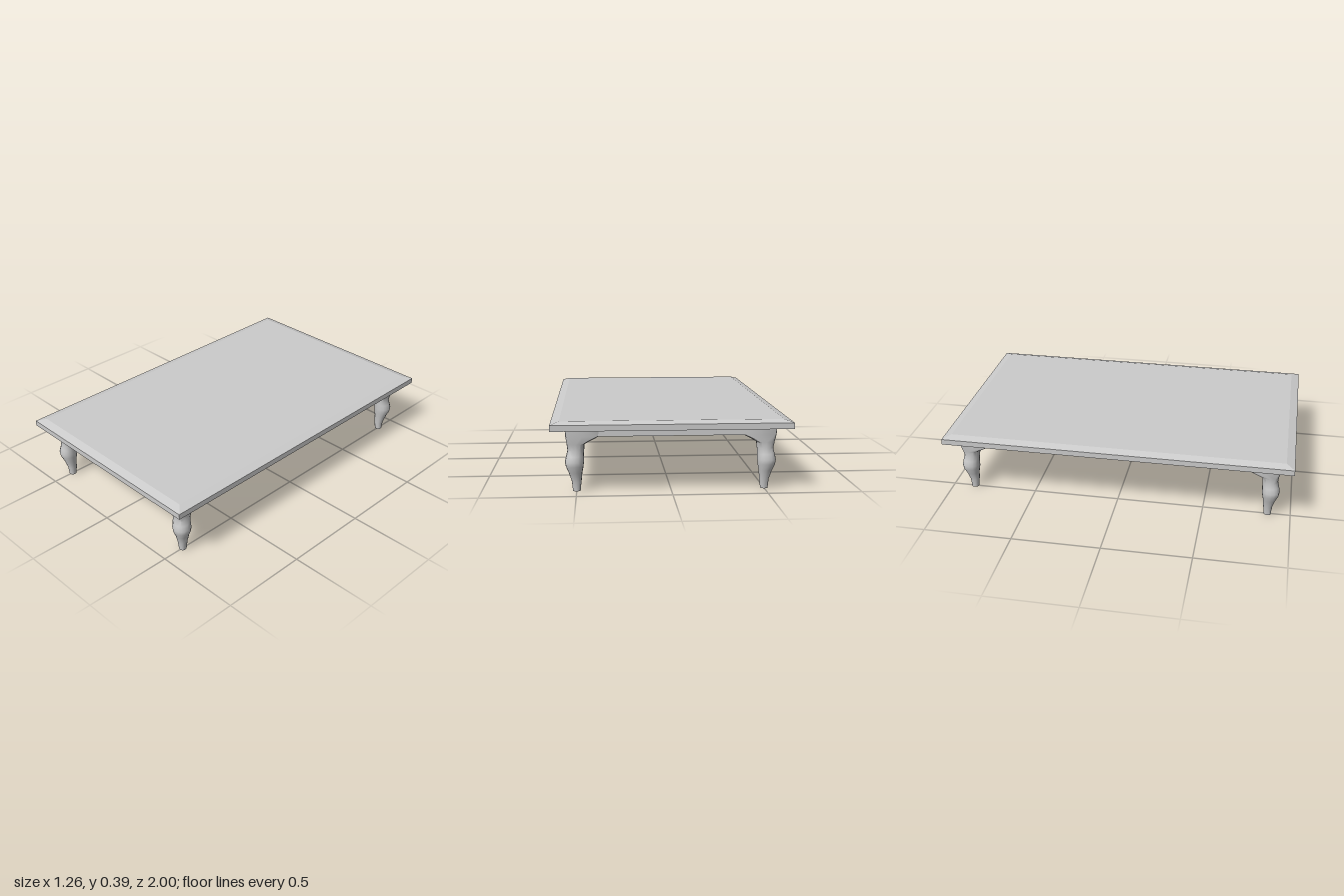
import * as THREE from 'three';
import { toCreasedNormals } from 'three/addons/utils/BufferGeometryUtils.js';

const material = new THREE.MeshStandardMaterial({ color: 0xcccccc });

function addMesh(parent, name, geometry) {
  const mesh = new THREE.Mesh(geometry, material);
  mesh.name = name;
  parent.add(mesh);
  return mesh;
}

// Slab with straight sides and a shallow bevel around its upper face
function tabletopGeometry() {
  const g = new THREE.BoxGeometry(1.264, 0.046, 2, 1, 2, 1);
  const p = g.attributes.position;
  for (let i = 0; i < p.count; i++) {
    const y = p.getY(i);
    if (y > 0.01) {
      p.setX(i, p.getX(i) - Math.sign(p.getX(i)) * 0.047);
      p.setZ(i, p.getZ(i) - Math.sign(p.getZ(i)) * 0.047);
    } else if (y > -0.01) p.setY(i, 0.009);
  }
  g.translate(0, 0.363, 0);
  return toCreasedNormals(g, 0.1);
}

// Leg sections: height, inner reach, outer reach, squareness (0 square, 1 round)
const LEG = [
  [0, -0.02, 0.02, 0.85],
  [0.05, -0.026, 0.025, 0.85],
  [0.1, -0.031, 0.041, 0.9],
  [0.135, -0.038, 0.056, 0.9],
  [0.16, -0.04, 0.06, 0.9],
  [0.19, -0.04, 0.053, 0.9],
  [0.22, -0.042, 0.046, 0.85],
  [0.255, -0.045, 0.05, 0.6],
  [0.298, -0.12, 0.055, 0.12],
  [0.34, -0.12, 0.058, 0.08],
];
const SIDES = 16;

// Curved leg that swells at the knee and spreads into a square corner block
function legGeometry(sx, sz) {
  const pos = [], index = [];
  const shape = (v, k) => (Math.abs(v) < 1e-6 ? 0 : Math.sign(v) * Math.abs(v) ** k);
  for (const [y, inner, outer, round] of LEG) {
    const c = (inner + outer) / 2, h = (outer - inner) / 2;
    for (let j = 0; j < SIDES; j++) {
      const a = (j / SIDES) * Math.PI * 2;
      pos.push(
        sx * (0.5 + c + h * shape(Math.cos(a), round)), y,
        sz * (0.87 + c + h * shape(Math.sin(a), round)));
    }
  }
  const tri = (a, b, c) => (sx * sz > 0 ? index.push(a, b, c) : index.push(a, c, b));
  for (let i = 0; i < LEG.length - 1; i++) {
    for (let j = 0; j < SIDES; j++) {
      const k = (j + 1) % SIDES, lo = i * SIDES, hi = lo + SIDES;
      tri(lo + j, hi + j, lo + k);
      tri(lo + k, hi + j, hi + k);
    }
  }
  // Sole
  for (let j = 1; j < SIDES - 1; j++) tri(0, j, j + 1);
  const g = new THREE.BufferGeometry();
  g.setAttribute('position', new THREE.Float32BufferAttribute(pos, 3));
  g.setIndex(index);
  return toCreasedNormals(g, 0.65);
}

export function createModel() {
  const table = new THREE.Group();
  table.name = 'lowTable';

  addMesh(table, 'tabletop', tabletopGeometry());

  // Apron rails running between the legs
  for (const s of [-1, 1]) {
    addMesh(table, s > 0 ? 'leftApron' : 'rightApron',
      new THREE.BoxGeometry(0.103, 0.042, 1.6)).position.set(s * 0.5015, 0.319, 0);
    addMesh(table, s > 0 ? 'frontApron' : 'backApron',
      new THREE.BoxGeometry(0.86, 0.042, 0.103)).position.set(0, 0.319, s * 0.8715);
  }

  // Four mirrored legs
  for (const sx of [-1, 1]) {
    for (const sz of [-1, 1]) {
      const name = (sz > 0 ? 'front' : 'back') + (sx > 0 ? 'Left' : 'Right') + 'Leg';
      addMesh(table, name, legGeometry(sx, sz));
    }
  }
  return table;
}
